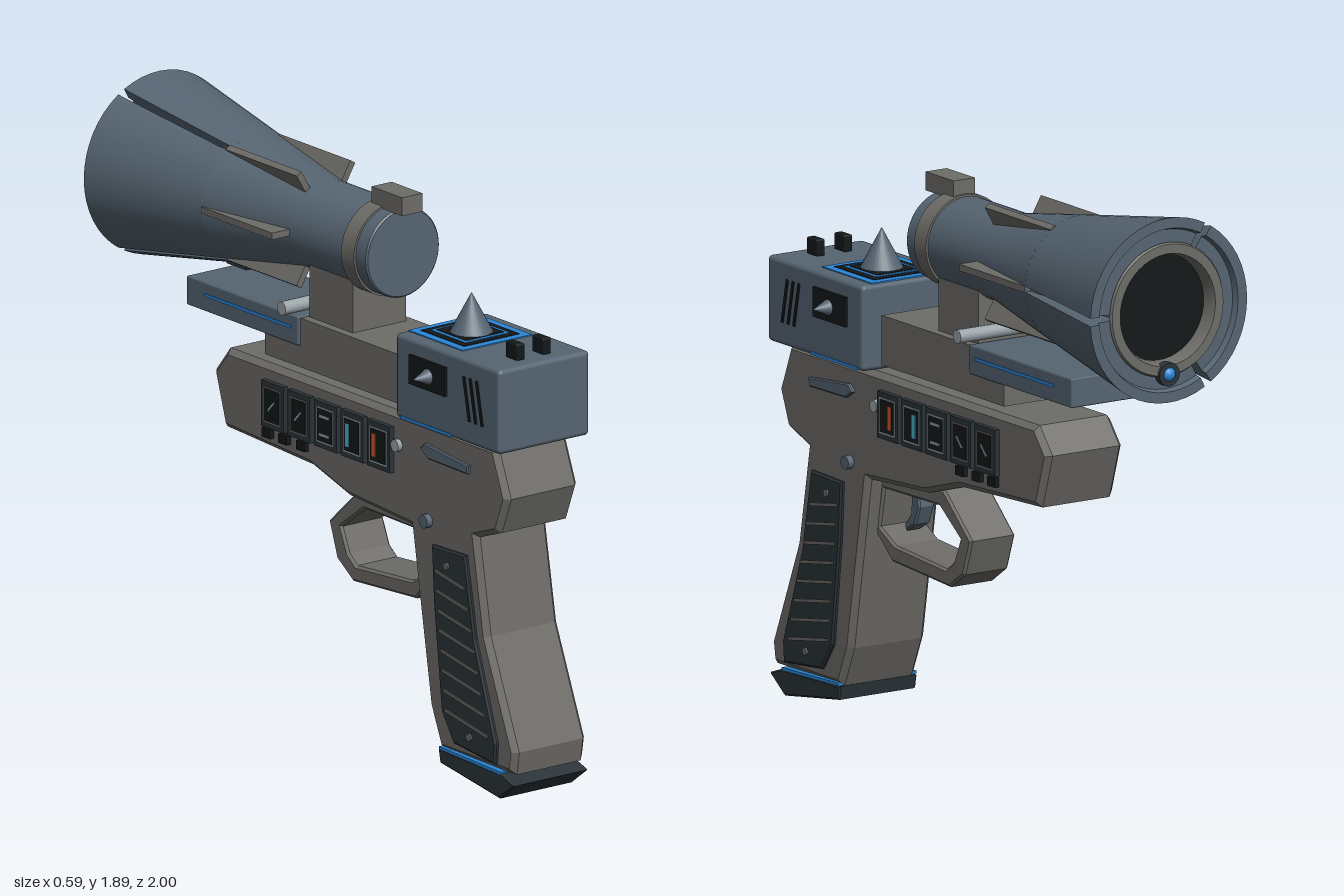
import * as THREE from 'three';
import { toCreasedNormals } from 'three/addons/utils/BufferGeometryUtils.js';
import { RoundedBoxGeometry } from 'three/addons/geometries/RoundedBoxGeometry.js';

const mat = (color) => new THREE.MeshStandardMaterial({ color });
const GREY = mat(0x6d6c68), STEEL = mat(0x566572), DARK = mat(0x2b3438), BLACK = mat(0x14181a);
const BLUE = mat(0x2a86d8), ORANGE = mat(0xd8572a), CYAN = mat(0x4fb3cf), PALE = mat(0x9aa3a8);
const SHELL = mat(0x566572);
SHELL.side = THREE.DoubleSide;

const AXIS_Y = 1.59; // height of the horn's axis

export function createModel() {
  const root = new THREE.Group();

  const add = (name, geo, material, x = 0, y = 0, z = 0, rx = 0) => {
    const m = new THREE.Mesh(geo, material);
    m.name = name;
    m.position.set(x, y, z);
    m.rotation.x = rx;
    root.add(m);
    return m;
  };
  const box = (name, material, w, h, d, x, y, z, rx = 0) =>
    add(name, new THREE.BoxGeometry(w, h, d), material, x, y, z, rx);
  // Outline given as [z, y], extruded across x and centred
  const slab = (name, material, outline, width, bevel = 0, x = 0, hole = null) => {
    const shape = new THREE.Shape(outline.map(([a, b]) => new THREE.Vector2(a, b)));
    if (hole) shape.holes.push(new THREE.Path(hole.map(([a, b]) => new THREE.Vector2(a, b))));
    const geo = new THREE.ExtrudeGeometry(shape, {
      depth: width - 2 * bevel, bevelEnabled: bevel > 0, bevelThickness: bevel,
      bevelSize: bevel, bevelOffset: -bevel, bevelSegments: 1,
    });
    geo.translate(0, 0, bevel - width / 2);
    geo.rotateY(-Math.PI / 2);
    return add(name, geo, material, x);
  };
  // Pin lying along x
  const pin = (name, material, r, len, x, y, z) =>
    add(name, new THREE.CylinderGeometry(r, r, len, 16).rotateZ(Math.PI / 2), material, x, y, z);
  // Profile given as [radius, distance towards -z], turned about the horn axis
  const turned = (name, material, profile, seg = 48, start = 0, length = Math.PI * 2) => {
    const geo = new THREE.LatheGeometry(profile.map(([r, d]) => new THREE.Vector2(r, d)), seg, start, length);
    return add(name, toCreasedNormals(geo.rotateX(-Math.PI / 2), 0.4), material, 0, AXIS_Y, 0);
  };

  // Frame and grip in one outline
  slab('frame', GREY, [
    [0.895, 1.135], [0.957, 0.98], [0.91, 0.86], [0.80, 0.82], [0.855, 0.51], [0.997, 0.165], [0.985, 0.09],
    [0.615, 0.09], [0.56, 0.22], [0.465, 0.78], [0.145, 0.80], [-0.04, 0.855], [-0.475, 0.875],
    [-0.53, 1.05], [-0.46, 1.135],
  ], 0.288, 0.018);
  slab('gripBase', DARK, [[1.0, 0.06], [0.92, 0.0], [0.62, 0.045], [0.612, 0.09], [0.93, 0.085]], 0.294, 0.006);
  slab('gripBaseStripe', BLUE, [[0.93, 0.08], [0.62, 0.09], [0.62, 0.1], [0.93, 0.09]], 0.297);

  // Trigger guard and trigger
  slab('triggerGuard', GREY, [
    [0.48, 0.80], [0.13, 0.805], [-0.02, 0.67], [0.02, 0.555], [0.10, 0.50], [0.42, 0.52], [0.51, 0.60],
  ], 0.17, 0.008, 0, [
    [0.46, 0.745], [0.16, 0.75], [0.045, 0.665], [0.08, 0.585], [0.12, 0.555], [0.40, 0.575], [0.485, 0.62],
  ]);
  slab('trigger', STEEL, [
    [0.385, 0.77], [0.35, 0.73], [0.345, 0.70], [0.37, 0.64], [0.42, 0.61], [0.43, 0.63], [0.395, 0.67], [0.39, 0.72],
  ], 0.06, 0.006);

  // Details repeated on both flanks
  for (const s of [-1, 1]) {
    slab('gripPanel', DARK, [
      [0.76, 0.755], [0.59, 0.75], [0.60, 0.57], [0.64, 0.22], [0.70, 0.13], [0.91, 0.11], [0.915, 0.18], [0.81, 0.49],
    ], 0.024, 0.006, s * 0.145);
    for (let i = 0; i < 8; i++)
      box('gripRidge', GREY, 0.008, 0.01, 0.15 + i * 0.01, s * 0.157, 0.66 - i * 0.064, 0.687 + i * 0.012, 0.17);
    pin('gripScrew', GREY, 0.012, 0.01, s * 0.158, 0.70, 0.67);
    pin('gripScrew', GREY, 0.012, 0.01, s * 0.158, 0.17, 0.785);
    pin('frameBolt', STEEL, 0.022, 0.03, s * 0.15, 0.82, 0.56);
    pin('frameStud', PALE, 0.02, 0.02, s * 0.15, 1.03, 0.41);
    slab('sidePlate', STEEL, [[0.775, 1.05], [0.77, 1.022], [0.57, 1.025], [0.53, 1.05], [0.555, 1.072]], 0.02, 0.004, s * 0.146);

    // Row of indicator windows
    for (let i = 0; i < 5; i++) {
      const z = 0.33 - i * 0.134;
      box('windowFrame', DARK, 0.03, 0.15, 0.114, s * 0.146, 1.01, z);
      box('windowRim', i < 3 ? PALE : GREY, 0.004, 0.115, 0.085, s * 0.161, 1.01, z);
      box('windowGlass', BLACK, 0.004, 0.105, 0.075, s * 0.163, 1.01, z);
      if (i < 2) box('windowBar', i ? CYAN : ORANGE, 0.004, 0.075, 0.018, s * 0.165, 1.01, z - 0.018);
      else if (i === 2) for (const k of [-1, 1]) box('windowMark', PALE, 0.004, 0.008, 0.05, s * 0.165, 1.01 + k * 0.03, z);
      else box('windowNeedle', PALE, 0.004, 0.006, 0.045, s * 0.165, 1.01, z, -0.8);
    }
    for (const z of [-0.065, -0.155, -0.24]) box('sideButton', BLACK, 0.03, 0.03, 0.042, s * 0.146, 0.915, z);

    // Housing flank: vents, socket and spike
    for (const z of [0.865, 0.833, 0.801]) box('ventSlot', BLACK, 0.006, 0.145, 0.012, s * 0.18, 1.28, z, -0.2);
    box('socketPanel', BLACK, 0.02, 0.095, 0.18, s * 0.18, 1.312, 0.61);
    add('sideSpike', new THREE.ConeGeometry(0.027, 0.06, 20).rotateZ(-s * Math.PI / 2), STEEL, s * 0.217, 1.31, 0.615);
    box('housingStripe', BLUE, 0.006, 0.01, 0.26, s * 0.179, 1.142, 0.595);
    // Lamp block light line
    box('lampLine', BLUE, 0.006, 0.01, 0.435, s * 0.145, 1.285, -0.348);
    // Knob above the housing
    add('topKnob', new RoundedBoxGeometry(0.032, 0.055, 0.06, 1, 0.006), BLACK, s * 0.052, 1.435, 0.882);
  }

  // Rear housing with emitter
  add('housing', new RoundedBoxGeometry(0.36, 0.275, 0.525, 2, 0.015), STEEL, 0, 1.272, 0.702);
  [[0.274, BLUE], [0.22, BLACK], [0.176, BLUE], [0.15, BLACK]].forEach(([w, m], i) =>
    box('emitterPlate', m, w, 0.008, w, 0, 1.409 + i * 0.002, 0.588));
  add('emitterSpike', new THREE.ConeGeometry(0.07, 0.132, 24), STEEL, 0, 1.48, 0.595);

  // Rail, mount and lamp block
  box('rail', GREY, 0.27, 0.16, 0.675, 0, 1.24, 0.0625);
  box('mount', GREY, 0.21, 0.2, 0.22, 0, 1.41, 0.02);
  add('lampBlock', new RoundedBoxGeometry(0.29, 0.095, 0.565, 1, 0.006), STEEL, 0, 1.278, -0.378);
  pin('mountPin', PALE, 0.022, 0.4, 0, 1.36, -0.11);
  box('hornSupport', DARK, 0.05, 0.05, 0.1, 0, 1.38, -0.56);

  // Barrel, strap and sight
  turned('barrel', STEEL, [[0, -0.25], [0.14, -0.25], [0.145, -0.245], [0.145, 0.14], [0.21, 0.5], [0, 0.5]]);
  turned('strap', GREY, [[0.14, -0.195], [0.152, -0.195], [0.152, -0.13], [0.14, -0.13]]);
  box('sight', GREY, 0.08, 0.06, 0.155, 0, 1.758, 0.218);

  // Flared horn: three sectors split by slots
  const profile = [[0.18, 0.49], [0.208, 0.49], [0.296, 0.985], [0.262, 0.985], [0.255, 0.965], [0.18, 0.965], [0.18, 0.49]];
  const capShape = new THREE.Shape(profile.map(([r, d]) => new THREE.Vector2(r, d)));
  const half = 0.045;
  for (let i = 0; i < 3; i++) {
    const start = Math.PI / 2 + i * Math.PI * 2 / 3 + half;
    const length = Math.PI * 2 / 3 - 2 * half;
    turned('hornSector', SHELL, profile, 16, start, length);
    for (const phi of [start, start + length]) {
      const cap = new THREE.ShapeGeometry(capShape).rotateY(phi - Math.PI / 2).rotateX(-Math.PI / 2);
      add('slotWall', cap, SHELL, 0, AXIS_Y, 0);
    }
  }
  turned('muzzleRing', GREY, [[0.165, 0.49], [0.19, 0.49], [0.19, 0.972], [0.215, 0.972], [0.21, 0.98], [0.18, 0.98], [0.17, 0.95], [0.165, 0.49]]);
  turned('muzzleCore', BLACK, [[0.17, 0.93], [0, 0.93]]);

  // Fins around the throat of the horn
  for (let i = 0; i < 6; i++) {
    const fin = slab('fin', GREY, [[-0.14, 0.13], [-0.14, 0.213], [-0.5, 0.213], [-0.5, 0.19]], 0.022);
    fin.position.y = AXIS_Y;
    fin.rotation.z = Math.PI / 6 + i * Math.PI / 3;
  }

  // Aiming gem on the muzzle
  add('gemSetting', new THREE.CylinderGeometry(0.038, 0.038, 0.03, 20).rotateX(Math.PI / 2), DARK, 0, 1.385, -0.975);
  add('gem', new THREE.SphereGeometry(0.025, 16, 12), BLUE, 0, 1.385, -0.978);

  return root;
}
